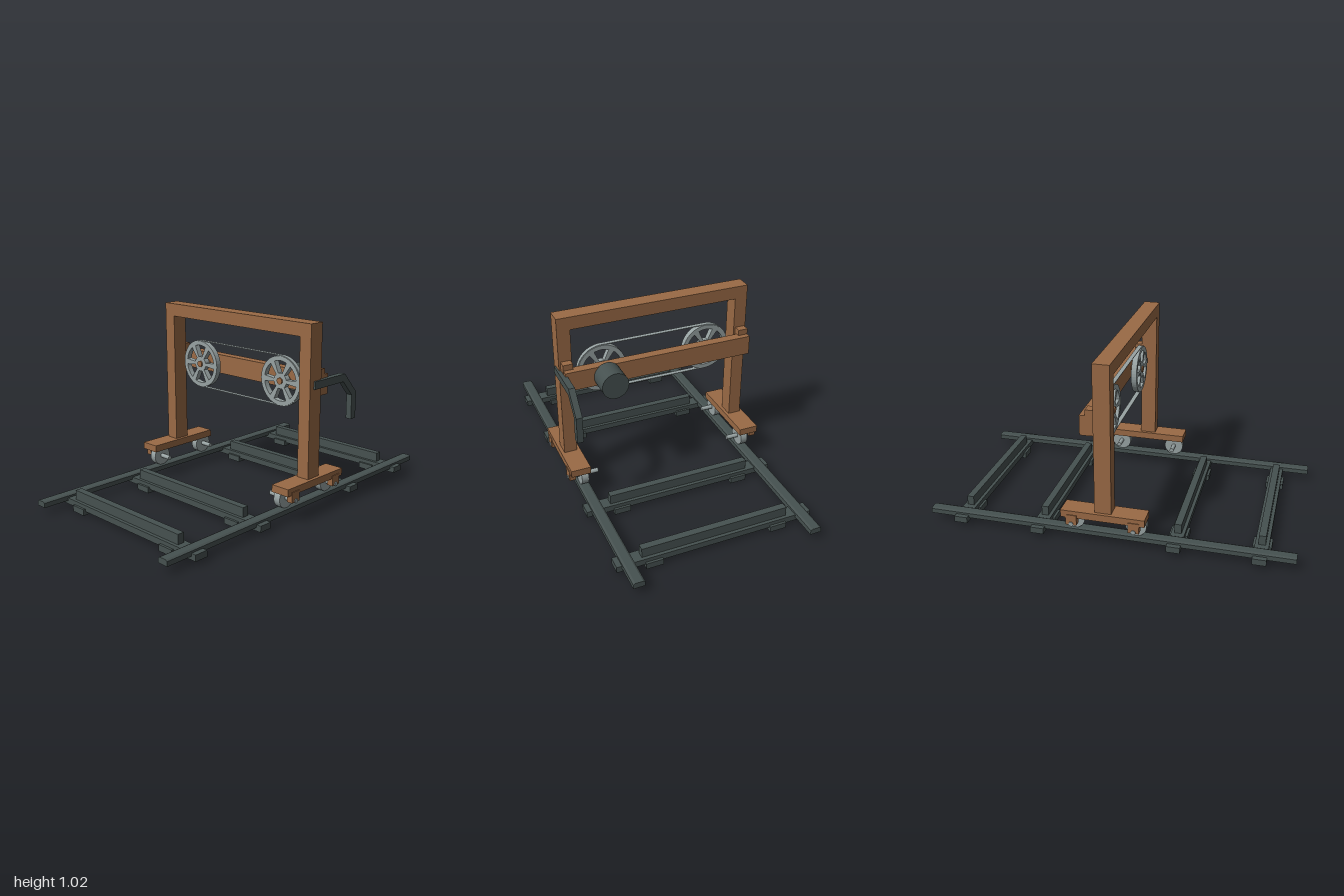
import * as THREE from 'three';

export function createModel() {
  const model = new THREE.Group();
  model.name = 'bandSawMill';

  const wood = new THREE.MeshStandardMaterial({ color: 0x9a6a45 });
  wood.name = 'brown';
  const iron = new THREE.MeshStandardMaterial({ color: 0x465150 });
  iron.name = 'dark grey';
  const steel = new THREE.MeshStandardMaterial({ color: 0x98a3a3 });
  steel.name = 'light grey';

  function add(name, geometry, material) {
    const mesh = new THREE.Mesh(geometry, material);
    mesh.name = name;
    model.add(mesh);
    return mesh;
  }
  // Box given by its limits on each axis
  function box(name, material, x0, x1, y0, y1, z0, z1) {
    const mesh = add(name, new THREE.BoxGeometry(x1 - x0, y1 - y0, z1 - z0), material);
    mesh.position.set((x0 + x1) / 2, (y0 + y1) / 2, (z0 + z1) / 2);
    return mesh;
  }
  // Cylinder lying along x or z
  function rod(name, material, radius, length, axis, x, y, z, sides = 32) {
    const geometry = new THREE.CylinderGeometry(radius, radius, length, sides);
    if (axis === 'x') geometry.rotateZ(Math.PI / 2);
    else geometry.rotateX(Math.PI / 2);
    const mesh = add(name, geometry, material);
    mesh.position.set(x, y, z);
    return mesh;
  }

  const cx = -0.002; // middle of the machine

  // Track: sleepers with feet and a log bunk on each
  for (const z of [-0.815, -0.372, 0.372, 0.815]) {
    box('sleeper', iron, cx - 0.547, cx + 0.547, 0.021, 0.055, z - 0.037, z + 0.037);
    box('logBunk', iron, cx - 0.408, cx + 0.408, 0.055, 0.108, z - 0.019, z + 0.019);
    for (const s of [-1, 1]) {
      const x = cx + s * 0.349;
      box('foot', iron, x - 0.046, x + 0.046, 0, 0.034, z - 0.05, z + 0.05);
    }
  }

  for (const s of [-1, 1]) {
    // Rail with chamfered top edges
    const profile = new THREE.Shape();
    profile.moveTo(-0.031, 0.04);
    profile.lineTo(0.031, 0.04);
    profile.lineTo(0.031, 0.066);
    profile.lineTo(0.02, 0.072);
    profile.lineTo(-0.02, 0.072);
    profile.lineTo(-0.031, 0.066);
    const rail = add('rail', new THREE.ExtrudeGeometry(profile, { depth: 2, bevelEnabled: false }), iron);
    rail.position.set(cx + s * 0.488, 0, -1);

    // Carriage plate and post
    const px = cx + s * 0.511;
    box('carriagePlate', wood, px - 0.055, px + 0.055, 0.161, 0.201, -0.226, 0.226);
    box('post', wood, px - 0.036, px + 0.036, 0.201, 0.951, -0.045, 0.045);
    // Clamp holding the saw beam to the post
    box('beamClamp', wood, px - 0.029, px + 0.026, 0.636, 0.775, -0.087, -0.045);

    // Track wheels with brackets and axles
    for (const z of [-0.168, 0.168]) {
      rod('trackWheel', steel, 0.056, 0.04, 'x', cx + s * 0.488, 0.126, z);
      rod('trackAxle', steel, 0.0125, 0.175, 'x', cx + s * 0.487, 0.126, z, 20);
      const bracketX = cx + s * 0.553;
      box('axleBracket', wood, bracketX - 0.017, bracketX + 0.017, 0.12, 0.178, z - 0.03, z + 0.03);
    }
  }

  // Frame top and saw beam
  box('topBeam', wood, cx - 0.547, cx + 0.547, 0.951, 1.023, -0.045, 0.045);
  box('sawBeam', wood, -0.541, 0.533, 0.634, 0.743, -0.118, -0.065);

  // Band wheel: disc with six openings between the spokes
  const wheelY = 0.684;
  const wheelShape = new THREE.Shape();
  wheelShape.absarc(0, 0, 0.135, 0, Math.PI * 2, false);
  for (let i = 0; i < 6; i++) {
    const a = (i + 0.5) * Math.PI / 3;
    const hole = new THREE.Path();
    hole.absarc(0, 0, 0.11, a - 0.38, a + 0.38, false);
    hole.absarc(0, 0, 0.043, a + 0.32, a - 0.32, true);
    hole.closePath();
    wheelShape.holes.push(hole);
  }
  const wheelGeometry = new THREE.ExtrudeGeometry(wheelShape, {
    depth: 0.032, bevelEnabled: false, curveSegments: 24,
  });
  const wheelX = [-0.308, 0.304];
  for (const x of wheelX) {
    const wheel = add('bandWheel', wheelGeometry, steel);
    wheel.position.set(x, wheelY, -0.034);
    rod('wheelAxle', wood, 0.018, 0.075, 'z', x, wheelY, -0.0325, 24);
  }

  // Saw band: thin loop around both wheels
  function loop(path, radius) {
    path.absarc(wheelX[1], wheelY, radius, -Math.PI / 2, Math.PI / 2, false);
    path.absarc(wheelX[0], wheelY, radius, Math.PI / 2, Math.PI * 1.5, false);
    path.closePath();
    return path;
  }
  const bandShape = loop(new THREE.Shape(), 0.138);
  bandShape.holes.push(loop(new THREE.Path(), 0.1345));
  const band = add('sawBand', new THREE.ExtrudeGeometry(bandShape, {
    depth: 0.024, bevelEnabled: false, curveSegments: 32,
  }), steel);
  band.position.z = -0.03;

  // Motor behind the beam
  rod('motor', iron, 0.074, 0.13, 'z', 0.304, 0.685, -0.178, 40);

  // Bent push handle, drawn in side profile as (z, y) and turned outward
  const handleShape = new THREE.Shape([
    [0.015, 0.682], [0.015, 0.724], [-0.237, 0.724], [-0.342, 0.608],
    [-0.342, 0.46], [-0.303, 0.46], [-0.303, 0.596], [-0.225, 0.682],
  ].map(([z, y]) => new THREE.Vector2(-z, y)));
  const handle = add('pushHandle', new THREE.ExtrudeGeometry(handleShape, {
    depth: 0.034, bevelEnabled: false,
  }), iron);
  handle.rotation.y = Math.PI / 2;
  handle.position.x = 0.521;

  return model;
}
